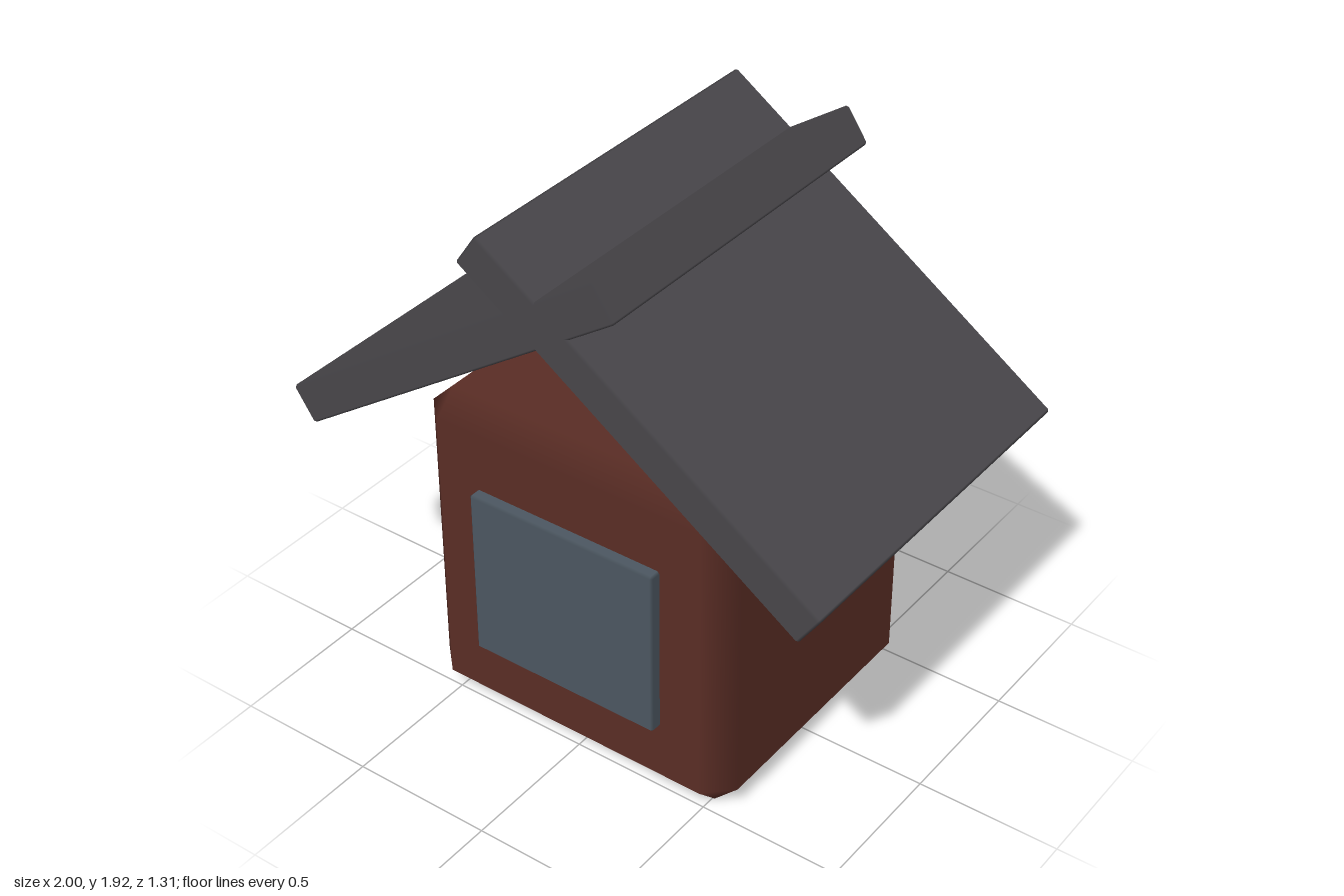
import * as THREE from 'three';
import { ConvexGeometry } from 'three/addons/geometries/ConvexGeometry.js';

// Box with a single-segment chamfer, shaded smoothly from face to face
function chamferBox(w, h, d, c) {
  const half = [w / 2, h / 2, d / 2];
  const points = [];
  for (const sx of [-1, 1]) for (const sy of [-1, 1]) for (const sz of [-1, 1]) {
    for (let axis = 0; axis < 3; axis++) {
      const p = half.map((v, i) => (i === axis ? v : v - c));
      points.push(new THREE.Vector3(p[0] * sx, p[1] * sy, p[2] * sz));
    }
  }
  const geometry = new ConvexGeometry(points);
  // Each corner point takes the normal of the flat face it lies on
  const pos = geometry.attributes.position;
  const normal = geometry.attributes.normal;
  for (let i = 0; i < pos.count; i++) {
    const p = [pos.getX(i), pos.getY(i), pos.getZ(i)];
    const n = p.map((v, k) => (Math.abs(v) > half[k] - c / 2 ? Math.sign(v) : 0));
    normal.setXYZ(i, n[0], n[1], n[2]);
  }
  return geometry;
}

function addPart(group, name, geometry, material, x, y, z) {
  const mesh = new THREE.Mesh(geometry, material);
  mesh.name = name;
  mesh.position.set(x, y, z);
  group.add(mesh);
  return mesh;
}

export function createModel() {
  const house = new THREE.Group();
  house.name = 'birdhouse';
  const wallMat = new THREE.MeshStandardMaterial({ color: 0x5a2d25 });
  const roofMat = new THREE.MeshStandardMaterial({ color: 0x48464a });
  const windowMat = new THREE.MeshStandardMaterial({ color: 0x4c5761 });

  // Chunky body and the panel on its front
  addPart(house, 'body', chamferBox(1.19, 1.19, 1.07, 0.088), wallMat, 0, 0.595, 0);
  addPart(house, 'window', chamferBox(0.71, 0.615, 0.1, 0.008), windowMat, 0, 0.5975, 0.525);

  // Two mirrored slabs crossing at the ridge
  const slab = chamferBox(1.47, 0.136, 1.31, 0.008);
  for (const [side, name] of [[1, 'leftRoofSlab'], [-1, 'rightRoofSlab']]) {
    const roof = addPart(house, name, slab, roofMat, side * 0.3575, 1.4575, 0);
    roof.rotation.z = -side * Math.atan2(0.825, 1.21);
  }
  return house;
}
